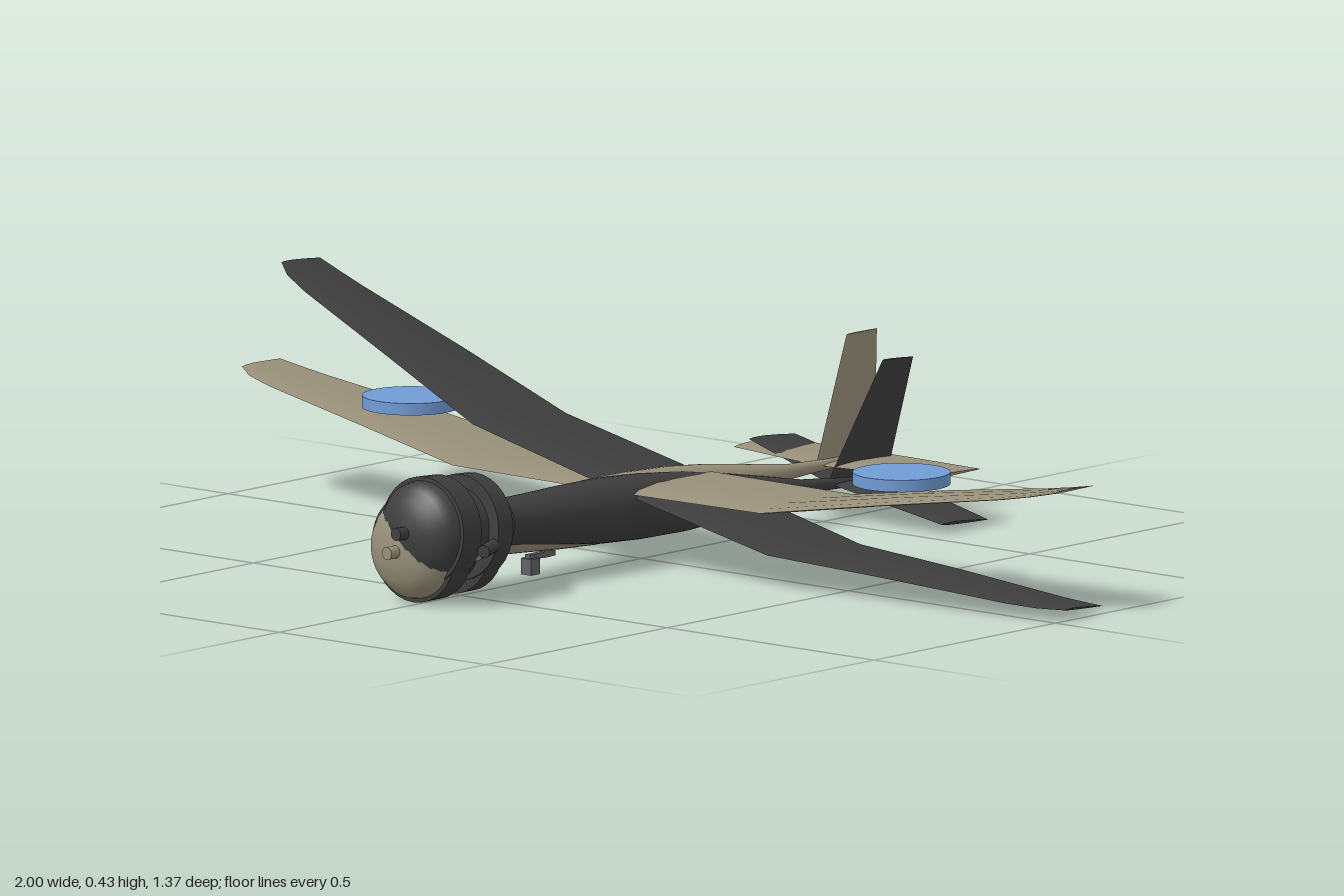
import * as THREE from 'three';
import { toCreasedNormals } from 'three/addons/utils/BufferGeometryUtils.js';

const paint = (name, color) => {
  const m = new THREE.MeshStandardMaterial({ color });
  m.name = name;
  return m;
};

// Thin aerofoil skin lofted along x; sections are [x, y, zLead, zTrail, thickness]
const FOIL = [[0, 0], [0.08, 0.6], [0.3, 1], [0.65, 0.7], [1, 0.1], [1, -0.1], [0.65, -0.35], [0.3, -0.5], [0.08, -0.4]];
function loft(sections) {
  const pos = [], idx = [], n = FOIL.length, last = (sections.length - 1) * n;
  for (const [x, y, lead, trail, t] of sections)
    for (const [u, v] of FOIL) pos.push(x, y + v * t * 0.65, lead + (trail - lead) * u);
  for (let i = 0; i < sections.length - 1; i++)
    for (let j = 0; j < n; j++) {
      const a = i * n + j, b = i * n + (j + 1) % n;
      idx.push(a, a + n, b + n, a, b + n, b);
    }
  for (let j = 1; j < n - 1; j++) idx.push(0, j, j + 1, last, last + j + 1, last + j);
  const g = new THREE.BufferGeometry();
  g.setAttribute('position', new THREE.Float32BufferAttribute(pos, 3));
  g.setIndex(idx);
  return toCreasedNormals(g, 0.6);
}

// Mirror half-span sections to a full span
const fullSpan = (half) => loft([...half.slice().reverse().map(([x, ...r]) => [-x, ...r]), ...half]);

// Body of revolution along z; profile points are [radius, z], rear to front
const turned = (profile) =>
  new THREE.LatheGeometry(profile.map(([r, z]) => new THREE.Vector2(r, z)), 32).rotateX(Math.PI / 2);

const drum = (r, z0, z1, sides = 32) =>
  new THREE.CylinderGeometry(r, r, z1 - z0, sides).rotateX(Math.PI / 2).translate(0, 0, (z0 + z1) / 2);

export function createModel() {
  const model = new THREE.Group();
  const beige = paint('beige', 0x989079);
  const charcoal = paint('charcoal', 0x3e3e3e);
  const grey = paint('grey', 0x626266);
  const blue = paint('blue', 0x709cd6);

  function aircraft(name, skin, metal) {
    const plane = new THREE.Group();
    plane.name = name;
    const add = (part, geometry, material) => {
      const m = new THREE.Mesh(geometry, material);
      m.name = part;
      plane.add(m);
      return m;
    };

    // Tapering fuselage
    add('fuselage', turned([
      [0, -0.67], [0.008, -0.665], [0.011, -0.5], [0.014, -0.43], [0.03, -0.31], [0.045, -0.2],
      [0.055, -0.1], [0.06, 0.02], [0.06, 0.12], [0.055, 0.22], [0.047, 0.33], [0.041, 0.43],
    ]), skin);

    // Wing, tailplane and fin
    add('wing', fullSpan([
      [0.03, 0.036, 0.09, -0.182, 0.016], [0.37, 0.036, 0.078, -0.177, 0.014],
      [0.62, 0.075, 0.044, -0.165, 0.011], [0.88, 0.112, 0.005, -0.15, 0.008],
      [0.94, 0.122, -0.01, -0.147, 0.006], [0.982, 0.13, -0.038, -0.144, 0.004],
    ]), skin);
    add('tailplane', fullSpan([[0.01, 0, -0.508, -0.682, 0.009], [0.242, 0, -0.55, -0.676, 0.006]]), skin);
    add('fin', loft([[0, 0, -0.5, -0.662, 0.009], [0.232, 0, -0.585, -0.668, 0.006]]).rotateZ(Math.PI / 2), skin);

    // Engine: stepped rings, domed nose and shaft
    for (const [r, z0, z1] of [[0.056, 0.42, 0.47], [0.097, 0.47, 0.51], [0.074, 0.51, 0.56], [0.1, 0.56, 0.61]])
      add('engineRing', drum(r, z0, z1), charcoal);
    add('noseDome', turned([[0.093, 0.608], [0.09, 0.622], [0.078, 0.638], [0.058, 0.65], [0.03, 0.658], [0, 0.661]]), skin);
    add('propellerShaft', drum(0.012, 0.655, 0.683, 12), skin);

    // Slanted exhausts on both sides
    for (const s of [-1, 1]) {
      const pipe = add('exhaust', drum(0.012, -0.042, 0.042, 10), metal);
      pipe.position.set(s * 0.096, -0.005, 0.525);
      pipe.rotation.y = s * 0.4;
    }
    model.add(plane);
    return plane;
  }

  // Level aircraft, with floating discs above the wing
  const level = aircraft('levelAircraft', beige, grey);
  level.position.set(-0.0175, 0.102, 0);
  for (const s of [-1, 1]) {
    const disc = new THREE.Mesh(new THREE.CylinderGeometry(0.089, 0.089, 0.022, 40), blue);
    disc.name = 'wingDisc';
    disc.position.set(s * 0.593, 0.11, -0.06);
    level.add(disc);
  }

  // Small probe under the belly
  const probe = new THREE.Group();
  probe.name = 'bellyProbe';
  for (const [w, h, d, y, z] of [[0.025, 0.03, 0.024, -0.077, 0.287], [0.012, 0.01, 0.07, -0.06, 0.26], [0.012, 0.025, 0.02, -0.053, 0.245]]) {
    const m = new THREE.Mesh(new THREE.BoxGeometry(w, h, d), grey);
    m.name = 'probePart';
    m.position.set(0, y, z);
    probe.add(m);
  }
  level.add(probe);

  // Second aircraft, banked and slightly nose up
  const banked = aircraft('bankedAircraft', charcoal, charcoal);
  banked.position.set(0.0075, 0.101, 0);
  banked.rotation.set(-0.057, -0.006, -0.21, 'YXZ');

  return model;
}
